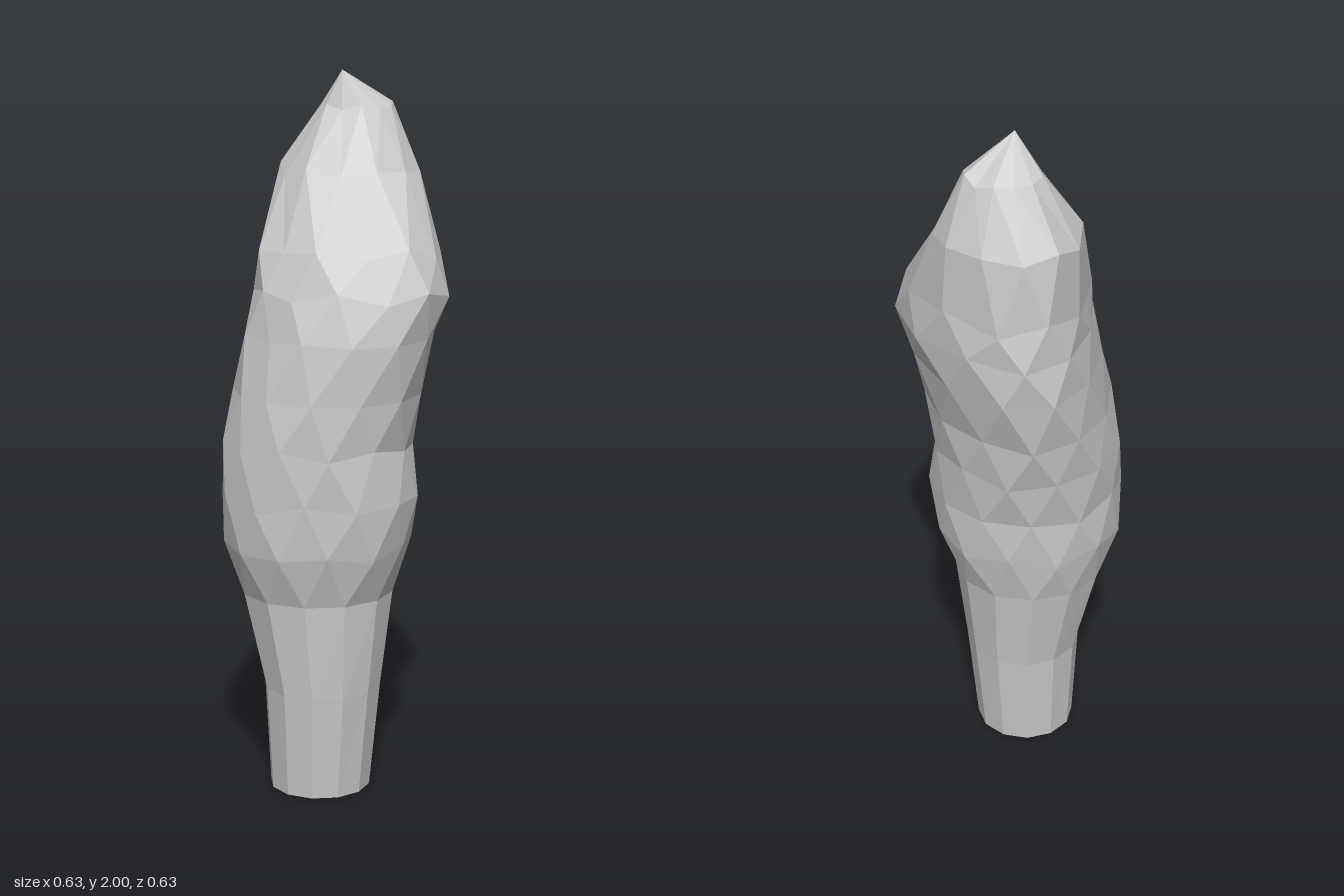
import * as THREE from 'three';

const SIDES = 12;

// Each ring: y, min x, max x, min z, max z, forward bulge of the sides, sideways skew of the back
const stemRings = [
  [0, -0.18, 0.10, -0.07, 0.21, 0, 0],
  [0.3, -0.195, 0.13, -0.10, 0.24, 0, 0],
  [0.57, -0.262, 0.162, -0.147, 0.262, 0, 0],
];
const bodyRings = [
  [0.57, -0.262, 0.162, -0.147, 0.262, 0, 0],
  [0.71, -0.308, 0.212, -0.178, 0.303, 0.05, 0],
  [0.85, -0.312, 0.23, -0.192, 0.31, 0.08, 0],
  [1.0, -0.302, 0.217, -0.225, 0.316, 0.13, 0],
  [1.14, -0.28, 0.236, -0.262, 0.316, 0.2, -0.02],
  [1.3, -0.242, 0.28, -0.303, 0.303, 0.3, -0.05],
  [1.42, -0.222, 0.31, -0.312, 0.275, 0.33, -0.06],
  [1.53, -0.205, 0.293, -0.306, 0.23, 0.28, -0.06],
  [1.73, -0.176, 0.21, -0.296, 0.06, 0.08, -0.03],
  [1.9, -0.07, 0.135, -0.213, -0.045, 0, 0],
];

// Small repeatable unevenness
const wobble = (i, j) => Math.sin(i * 12.9 + j * 7.3) * Math.cos(i * 3.1 - j * 5.7);

// Low-poly skin through the rings, optionally closed by a tip
function loft(rings, stagger, tip) {
  const pos = [], index = [];
  rings.forEach(([y, x0, x1, z0, z1, bulge, skew], r) => {
    const cx = (x0 + x1) / 2, cz = (z0 + z1) / 2;
    const rx = (x1 - x0) / 2, rz = (z1 - z0) / 2;
    const rough = stagger && r > 0 ? 1 : 0;
    for (let s = 0; s < SIDES; s++) {
      const a = (s + (stagger && r % 2 ? 0.5 : 0)) / SIDES * Math.PI * 2;
      const c = Math.cos(a), n = Math.sin(a);
      let k = 1.01 + 0.02 * rough * wobble(r, s);
      // Slanting groove on the right side of the front
      const grooveX = -0.1 - (1.6 - y) * 0.24;
      if (rough && y > 1.1 && y < 1.6 && n > 0.1) {
        k *= 1 - 0.11 * Math.max(0, 1 - Math.abs(cx + rx * c - grooveX) / 0.09);
      }
      pos.push(
        cx + rx * c * k + (n < 0 ? skew * n * n : 0),
        y + 0.018 * rough * wobble(s, r + 4),
        cz + rz * (n + bulge * c * c) * k,
      );
    }
  });
  for (let r = 0; r < rings.length - 1; r++) {
    for (let s = 0; s < SIDES; s++) {
      const t = (s + 1) % SIDES;
      const a = r * SIDES + s, b = r * SIDES + t;
      const c = a + SIDES, d = b + SIDES;
      if (stagger && r % 2) index.push(a, d, b, a, c, d);
      else index.push(a, c, b, b, c, d);
    }
  }
  if (tip) {
    const last = (rings.length - 1) * SIDES;
    pos.push(...tip);
    for (let s = 0; s < SIDES; s++) index.push(last + s, rings.length * SIDES, last + (s + 1) % SIDES);
  }
  const geometry = new THREE.BufferGeometry();
  geometry.setAttribute('position', new THREE.Float32BufferAttribute(pos, 3));
  geometry.setIndex(index);
  geometry.computeVertexNormals();
  return geometry;
}

export function createModel() {
  const group = new THREE.Group();
  const material = new THREE.MeshStandardMaterial({
    color: 0xcccccc, flatShading: true, side: THREE.DoubleSide,
  });

  // Tapered stem, open underneath
  const stem = new THREE.Mesh(loft(stemRings, false), material);
  stem.name = 'stem';

  // Faceted, leaning body ending in a point
  const body = new THREE.Mesh(loft(bodyRings, true, [0, 2, -0.085]), material);
  body.name = 'body';

  group.add(stem, body);
  return group;
}
